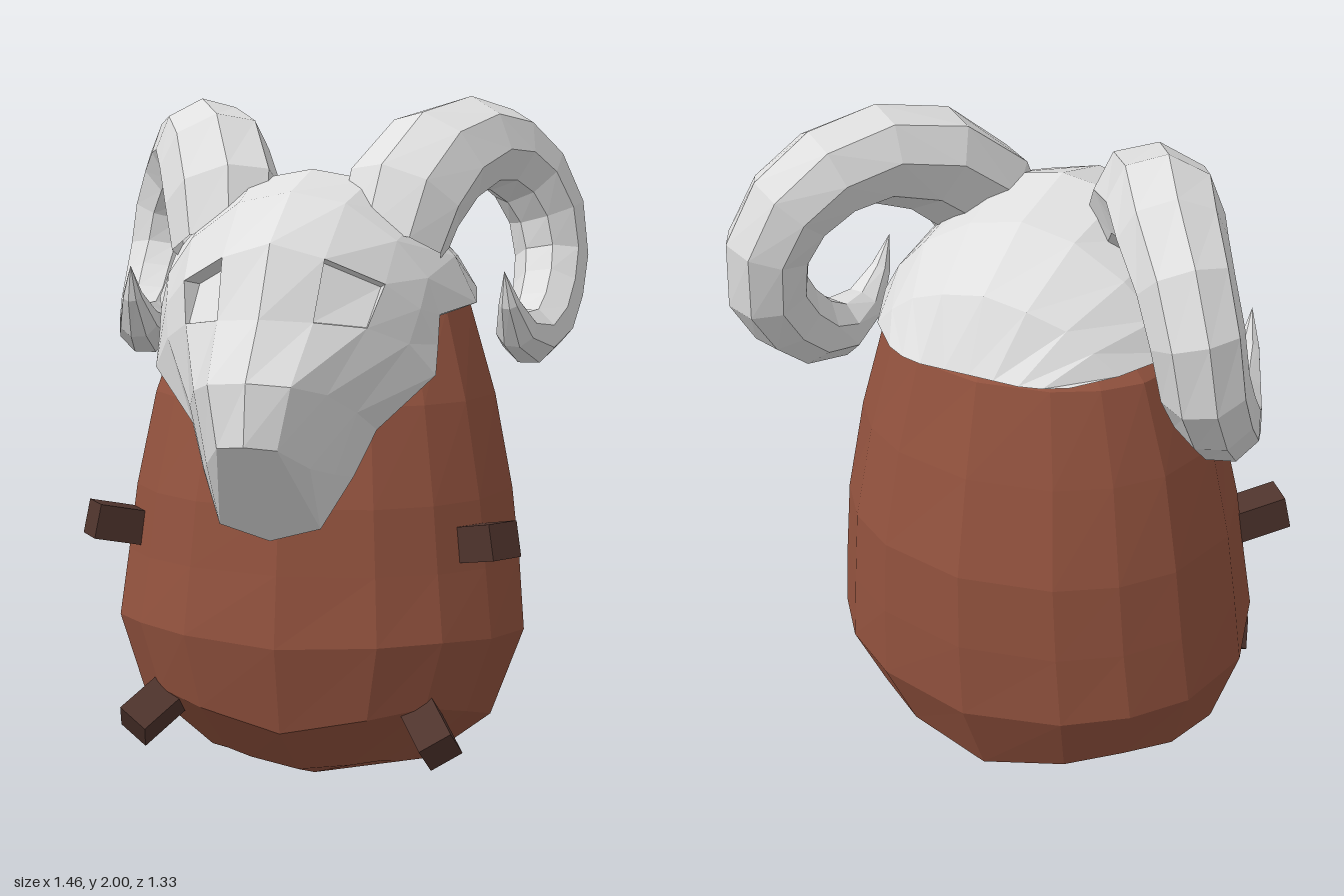
import * as THREE from 'three';

const material = (name, color, side = THREE.FrontSide) => {
  const m = new THREE.MeshStandardMaterial({ color, side });
  m.name = name;
  return m;
};

// Faceted surface through rows of points; skip(i, j) leaves a cell open
function loft(rows, closed = false, skip = () => false) {
  const pos = [];
  const n = rows[0].length;
  for (let i = 0; i < rows.length - 1; i++) {
    for (let j = 0; j < (closed ? n : n - 1); j++) {
      if (skip(i, j)) continue;
      const k = (j + 1) % n;
      const a = rows[i][j], b = rows[i][k], c = rows[i + 1][k], d = rows[i + 1][j];
      pos.push(...a, ...b, ...c, ...a, ...c, ...d);
    }
  }
  const g = new THREE.BufferGeometry();
  g.setAttribute('position', new THREE.Float32BufferAttribute(pos, 3));
  g.computeVertexNormals();
  return g;
}

function add(parent, name, geometry, mat) {
  const mesh = new THREE.Mesh(geometry, mat);
  mesh.name = name;
  parent.add(mesh);
  return mesh;
}

// Body rings: y, half width, front z, back z, rise towards the front, lift at the four corners
const BODY = [
  [0, 0, -0.06, -0.06, 0, 0], [0.06, 0.33, 0.13, -0.33, 0.015, 0.03], [0.21, 0.52, 0.33, -0.55, 0.035, 0.08],
  [0.465, 0.61, 0.385, -0.66, 0.035, 0.02], [0.68, 0.59, 0.36, -0.668, 0.02, 0], [0.88, 0.565, 0.335, -0.66, 0, 0],
  [1.15, 0.51, 0.26, -0.6, 0, 0], [1.4, 0.43, 0.13, -0.53, 0, 0], [1.53, 0.28, 0, -0.4, 0, 0],
  [1.58, 0, -0.2, -0.2, 0, 0],
];

// Mask half rows, chin to nape, each from the centre line to the left edge
const MASK = [
  [[0, 0.81, 0.42], [0.14, 0.85, 0.42], [0.14, 0.85, 0.42], [0.14, 0.85, 0.42], [0.14, 0.85, 0.42]],
  [[0, 1.1, 0.66], [0.08, 1.09, 0.63], [0.14, 1.03, 0.53], [0.18, 1.0, 0.43], [0.21, 0.98, 0.34]],
  [[0, 1.26, 0.64], [0.11, 1.25, 0.61], [0.18, 1.22, 0.51], [0.23, 1.16, 0.39], [0.26, 1.1, 0.28]],
  [[0, 1.41, 0.52], [0.13, 1.4, 0.46], [0.25, 1.38, 0.36], [0.34, 1.33, 0.25], [0.4, 1.24, 0.18]],
  [[0, 1.6, 0.41], [0.14, 1.56, 0.38], [0.28, 1.49, 0.28], [0.36, 1.42, 0.2], [0.4, 1.32, 0.15]],
  [[0, 1.73, 0.2], [0.15, 1.7, 0.19], [0.29, 1.6, 0.18], [0.37, 1.5, 0.15], [0.4, 1.4, 0.13]],
  [[0, 1.79, -0.03], [0.17, 1.76, -0.03], [0.31, 1.66, -0.03], [0.41, 1.55, -0.04], [0.47, 1.42, -0.06]],
  [[0, 1.74, -0.27], [0.15, 1.71, -0.27], [0.29, 1.63, -0.27], [0.38, 1.54, -0.26], [0.44, 1.45, -0.24]],
  [[0, 1.62, -0.48], [0.12, 1.6, -0.48], [0.22, 1.56, -0.46], [0.29, 1.51, -0.45], [0.35, 1.45, -0.43]],
  [[0, 1.44, -0.57], [0.07, 1.44, -0.57], [0.14, 1.44, -0.57], [0.2, 1.44, -0.555], [0.26, 1.44, -0.52]],
];

// Horn path: x, y, z, radius, sideways stretch
const HORN = [
  [0.24, 1.57, 0.03, 0.125, 1.25], [0.265, 1.71, -0.04, 0.14, 1.25], [0.33, 1.82, -0.16, 0.14, 1.2],
  [0.41, 1.865, -0.3, 0.13, 1.15], [0.48, 1.845, -0.42, 0.125, 1.1], [0.55, 1.77, -0.5, 0.12, 1],
  [0.6, 1.66, -0.54, 0.115, 1], [0.62, 1.53, -0.53, 0.11, 1], [0.62, 1.43, -0.46, 0.105, 1],
  [0.61, 1.35, -0.37, 0.1, 1], [0.59, 1.31, -0.26, 0.085, 1], [0.57, 1.34, -0.15, 0.06, 1],
  [0.56, 1.42, -0.07, 0.03, 1], [0.55, 1.51, -0.03, 0, 1],
];

// Eight-sided tapering horn whose facets follow the curl without twisting
function hornGeometry(side) {
  const sides = 8;
  const pts = HORN.map(([x, y, z]) => new THREE.Vector3(side * x, y, z));
  const u = new THREE.Vector3(side, -0.3, 0);
  const rows = pts.map((p, i) => {
    const t = pts[Math.min(i + 1, pts.length - 1)].clone().sub(pts[Math.max(i - 1, 0)]).normalize();
    u.addScaledVector(t, -t.dot(u)).normalize();
    const v = t.clone().cross(u);
    const [, , , r, stretch] = HORN[i];
    return Array.from({ length: sides }, (_, k) => {
      const a = ((k + 0.5) / sides) * Math.PI * 2;
      return p.clone().addScaledVector(u, r * stretch * Math.cos(a)).addScaledVector(v, r * Math.sin(a)).toArray();
    });
  });
  return loft(rows, true);
}

export function createModel() {
  const model = new THREE.Group();
  model.name = 'hornedMaskCreature';
  const brown = material('russet body', 0x92523e);
  const bone = material('pale bone', 0xdfdfdf, THREE.DoubleSide);
  const dark = material('dark brown pegs', 0x4f342d);

  // Egg-shaped body, slightly boxy towards its base
  const sides = 16;
  const rings = BODY.map(([y, w, front, back, rise, lift]) => Array.from({ length: sides }, (_, k) => {
    const even = (k / sides) * Math.PI * 2;
    const a = even + 0.07 * Math.sin(4 * even);
    const corner = lift * Math.sin(2 * a) ** 2;
    const grow = 1 + 0.7 * corner;
    return [
      w * grow * Math.sin(a),
      y + rise * Math.cos(a) + corner,
      (front + back) / 2 + ((front - back) / 2) * grow * Math.cos(a),
    ];
  }));
  add(model, 'body', loft(rings, true), brown);

  // Skull mask with open eye cells
  const mask = new THREE.Group();
  mask.name = 'skullMask';
  model.add(mask);
  const rows = MASK.map((h) => [...h.slice(1).reverse().map(([x, y, z]) => [-x, y, z]), ...h]);
  add(mask, 'maskShell', loft(rows, false, (i, j) => i === 3 && (j === 2 || j === 5)), bone);

  // Mask edge turned inward
  const last = rows.length - 1;
  const edge = [
    ...rows.map((r) => r[8]), ...rows[last].slice(1, 8).reverse(),
    ...rows.map((r) => r[0]).reverse(), ...rows[0].slice(1, 8),
  ];
  const inner = edge.map(([x, y, z]) => [x * 0.92, y - (y > 1.2 ? 0.015 : 0), -0.05 + (z + 0.05) * 0.92]);
  add(mask, 'maskRim', loft([edge, inner], true), bone);

  for (const side of [1, -1]) {
    const label = side > 0 ? 'left' : 'right';

    // Eye socket, deepest under the brow
    const socket = [MASK[3][1], MASK[3][2], MASK[4][2], MASK[4][1]].map(([x, y, z]) => [side * x, y, z]);
    const floor = socket.map(([x, y, z], i) => (i < 2
      ? [x - side * 0.005, y, z - 0.015]
      : [x - side * 0.025, y - 0.012, z - 0.06]));
    add(mask, label + 'EyeSocket', loft([socket, floor], true), bone);
    const [a, b, c, d] = side > 0 ? floor : [floor[1], floor[0], floor[3], floor[2]];
    add(mask, label + 'EyeFloor', loft([[a, b], [d, c]]), bone);

    // Curled horn
    add(model, label + 'Horn', hornGeometry(side), bone);

    // Stubby arm and leg pegs: centre of the visible part, direction, roll
    const pegs = {
      ArmPeg: [[0.545, 0.78, 0.145], [0.75, 0.22, 0.63], 0],
      LegPeg: [[0.41, 0.25, 0.24], [0.48, -0.45, 0.66], 0.6],
    };
    for (const [name, [centre, direction, roll]] of Object.entries(pegs)) {
      const dir = new THREE.Vector3(...direction).normalize();
      dir.x *= side;
      const peg = add(model, label + name, new THREE.BoxGeometry(0.1, 0.1, 0.22), dark);
      peg.position.set(side * centre[0], centre[1], centre[2]).addScaledVector(dir, -0.04);
      peg.lookAt(peg.position.clone().add(dir));
      peg.rotateZ(side * roll);
    }
  }
  return model;
}
